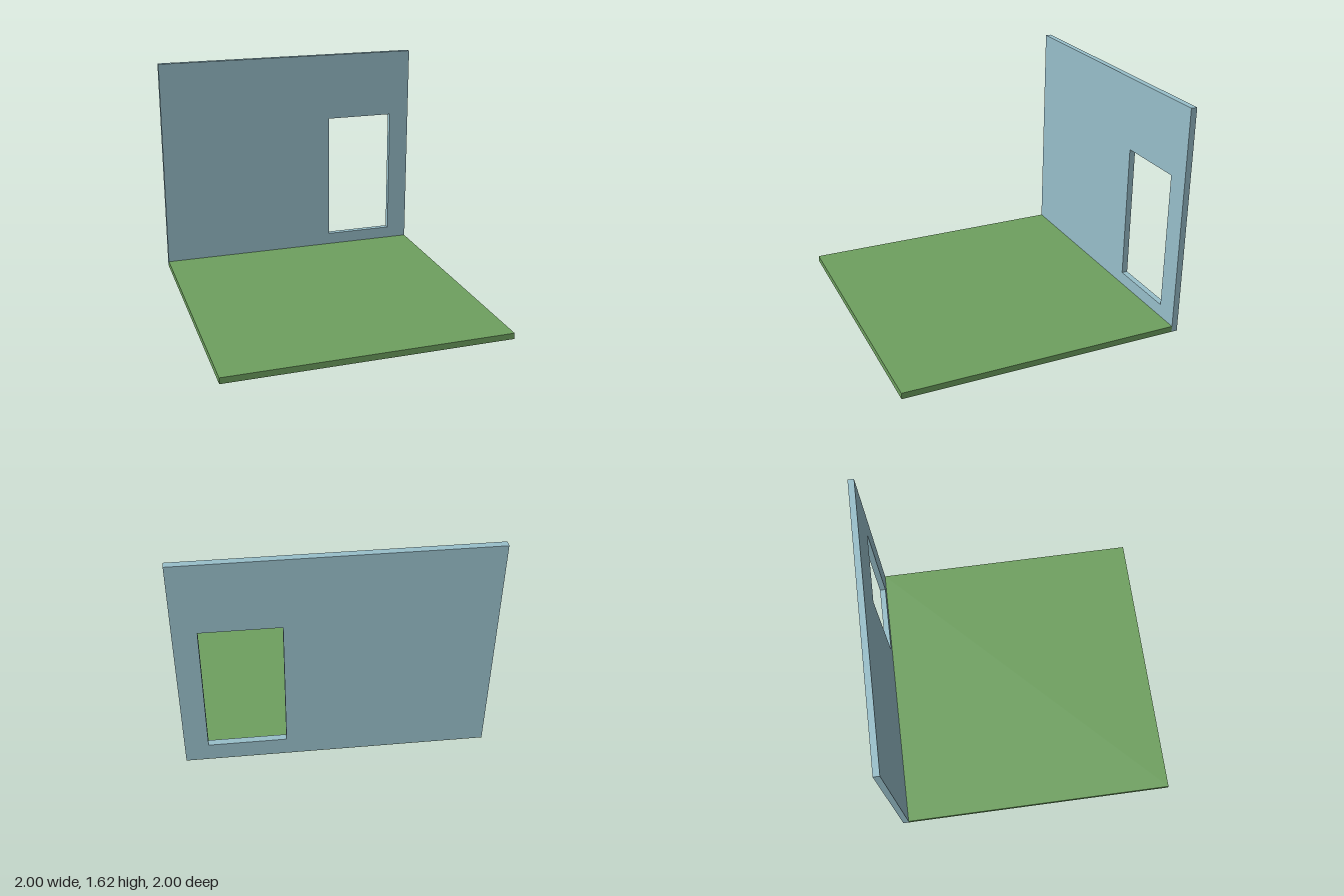
import * as THREE from 'three';

export function createModel() {
  const model = new THREE.Group();
  model.name = 'roomCorner';

  const wallBlue = new THREE.MeshStandardMaterial({ color: 0x98bfca });
  wallBlue.name = 'wallBlue';
  const floorGreen = new THREE.MeshStandardMaterial({ color: 0x6ea05f });
  floorGreen.name = 'floorGreen';

  const thick = 0.043; // wall and floor thickness
  const lip = 0.002; // floor underside running below the wall
  const height = 1.615;

  const addBox = (name, y0, y1, z0, z1) => {
    const mesh = new THREE.Mesh(new THREE.BoxGeometry(2, y1 - y0, z1 - z0), floorGreen);
    mesh.position.set(0, (y0 + y1) / 2, (z0 + z1) / 2);
    mesh.name = name;
    model.add(mesh);
  };

  // Floor slab and its thin lip under the wall
  addBox('floor', 0, thick, -1 + thick, 1);
  addBox('floorLip', 0, lip, -1, -1 + thick);

  // Back wall with a window opening
  const rectangle = (target, x0, y0, x1, y1) =>
    target.moveTo(x0, y0).lineTo(x1, y0).lineTo(x1, y1).lineTo(x0, y1).closePath();
  const outline = rectangle(new THREE.Shape(), -1, lip, 1, height);
  outline.holes.push(rectangle(new THREE.Path(), 0.33, 0.132, 0.845, 1.106));
  const wall = new THREE.Mesh(
    new THREE.ExtrudeGeometry(outline, { depth: thick, bevelEnabled: false }),
    wallBlue
  );
  wall.position.z = -1;
  wall.name = 'backWall';
  model.add(wall);

  return model;
}
